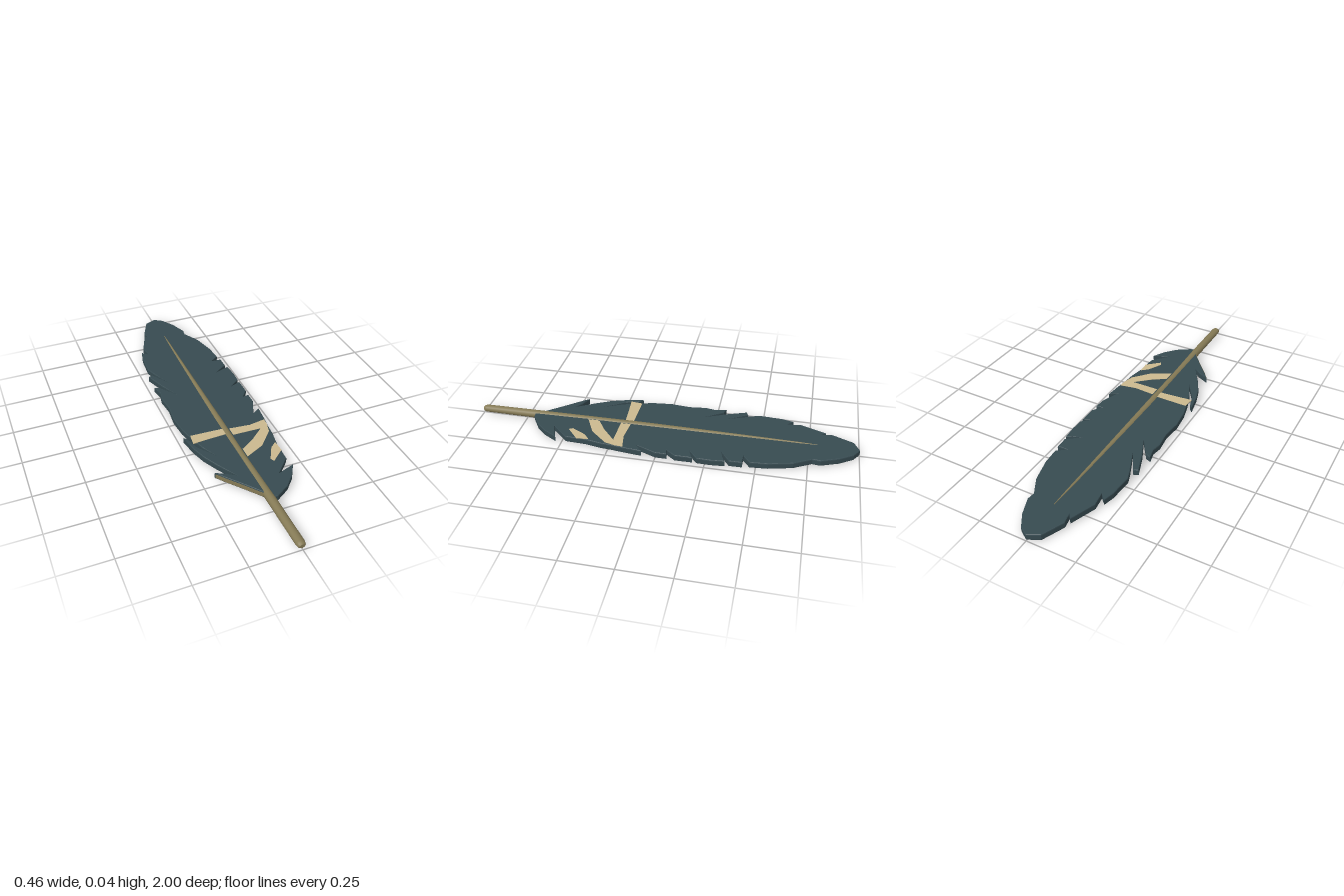
import * as THREE from 'three';

const mat = (name, color) => {
  const m = new THREE.MeshStandardMaterial({ color });
  m.name = name;
  return m;
};

// Turns [x, z] ground-plan points into a shape that is later laid flat
const plan = (pts) => new THREE.Shape(pts.map(([x, z]) => new THREE.Vector2(x, -z)));

// Lies an extruded plan flat, its underside at height y
function slab(name, pts, y, depth, material, bevel = 0) {
  const geo = new THREE.ExtrudeGeometry(plan(pts), {
    depth: depth - 2 * bevel, bevelEnabled: bevel > 0, bevelThickness: bevel,
    bevelSize: bevel * 0.7, bevelOffset: -bevel * 0.7, bevelSegments: 2,
  });
  geo.rotateX(-Math.PI / 2);
  geo.translate(0, y + bevel, 0);
  const mesh = new THREE.Mesh(geo, material);
  mesh.name = name;
  return mesh;
}

// Outline of the right half (+x), tip to stem, with slits between barbs
const rightEdge = [
  [0, -1], [0.045, -0.97], [0.09, -0.9], [0.125, -0.81], [0.12, -0.77], [0.17, -0.68],
  [0.2, -0.56], [0.207, -0.47], [0.16, -0.435], [0.215, -0.435], [0.216, -0.37],
  [0.145, -0.32], [0.222, -0.35], [0.228, -0.28], [0.226, -0.21], [0.17, -0.165],
  [0.225, -0.19], [0.226, -0.1], [0.19, -0.055], [0.222, -0.06], [0.222, 0], [0.18, 0.1],
  [0.222, 0.07], [0.215, 0.15], [0.205, 0.23], [0.2, 0.29], [0.185, 0.37], [0.18, 0.48],
  [0.1, 0.565], [0.19, 0.53], [0.15, 0.6], [0.1, 0.655], [0.03, 0.7], [0, 0.7],
];

// Outline of the other half, stem to tip, with two loose barbs
const leftEdge = [
  [-0.02, 0.66], [-0.1, 0.56], [-0.15, 0.5], [-0.182, 0.455], [-0.13, 0.48], [-0.09, 0.51],
  [-0.15, 0.41], [-0.19, 0.33], [-0.212, 0.26], [-0.23, 0.16], [-0.21, 0.18], [-0.19, 0.25],
  [-0.125, 0.35], [-0.17, 0.26], [-0.195, 0.18], [-0.215, 0.1], [-0.225, 0], [-0.215, -0.1],
  [-0.225, -0.19], [-0.215, -0.24], [-0.228, -0.3], [-0.2, -0.29], [-0.135, -0.195],
  [-0.185, -0.3], [-0.225, -0.41], [-0.2, -0.42], [-0.14, -0.315], [-0.19, -0.43],
  [-0.208, -0.48], [-0.2, -0.6], [-0.185, -0.66], [-0.155, -0.63], [-0.165, -0.7],
  [-0.115, -0.83], [-0.098, -0.81], [-0.108, -0.86], [-0.06, -0.97],
];

const topStripes = [
  [[-0.193, 0.16], [-0.02, 0.165], [-0.02, 0.21], [-0.11, 0.215], [-0.2, 0.222]],
  [[0.01, 0.175], [0.12, 0.185], [0.207, 0.17], [0.204, 0.21], [0.19, 0.265], [0.11, 0.355],
    [0.01, 0.405], [0.01, 0.345], [0.08, 0.3], [0.16, 0.23], [0.01, 0.228]],
  [[0.18, 0.355], [0.183, 0.42], [0.115, 0.48], [0.105, 0.46], [0.145, 0.385]],
];

const undersideStripes = [
  [[0, -0.56], [0.17, -0.63], [0.195, -0.555], [0, -0.49]],
  [[-0.215, -0.06], [0, -0.05], [0.195, -0.02], [0.2, 0.05], [0, 0.08], [-0.205, 0.1]],
  [[0, 0.28], [0.18, 0.235], [0.18, 0.33], [0, 0.35]],
  [[0, 0.475], [0.135, 0.46], [0.13, 0.53], [0, 0.535]],
];

// Tapered, slightly bowed oval rod with rounded ends: [z, centre x, half width, half height]
function stemGeometry() {
  const rings = [
    [1, -0.004, 0.012, 0.01], [0.994, -0.004, 0.019, 0.015], [0.98, -0.004, 0.022, 0.018],
    [0.7, -0.004, 0.022, 0.021], [0.4, -0.008, 0.019, 0.021], [0.1, -0.009, 0.021, 0.021],
    [-0.2, -0.008, 0.017, 0.02], [-0.5, -0.006, 0.012, 0.019], [-0.7, -0.004, 0.008, 0.018],
    [-0.79, -0.003, 0.003, 0.016],
  ];
  const sides = 16;
  const geo = new THREE.CylinderGeometry(1, 1, 1, sides, rings.length - 1);
  geo.rotateX(Math.PI / 2);
  const p = geo.attributes.position;
  for (let i = 0; i < p.count; i++) {
    const [z, cx, rx, ry] = rings[Math.round((0.5 - p.getZ(i)) * (rings.length - 1))];
    p.setXYZ(i, cx + p.getX(i) * rx, 0.028 + p.getY(i) * ry, z);
  }
  geo.computeVertexNormals();
  return geo;
}

export function createModel() {
  const slate = mat('slate vane', 0x374b51);
  const horn = mat('horn stem', 0x857a55);
  const cream = mat('cream stripe', 0xcbb98f);

  const model = new THREE.Group();
  model.name = 'feather';

  // Vane leans a touch to one side
  const vane = new THREE.Group();
  vane.name = 'vane';
  vane.rotation.z = -0.015;
  const bottom = 0.009, thick = 0.033;
  vane.add(slab('vaneBody', [...rightEdge, ...leftEdge], bottom, thick, slate, 0.006));
  topStripes.forEach((s, i) =>
    vane.add(slab(`topStripe${i + 1}`, s, bottom + thick - 0.002, 0.0035, cream)));
  undersideStripes.forEach((s, i) =>
    vane.add(slab(`undersideStripe${i + 1}`, s, bottom - 0.0015, 0.0035, cream)));

  // Pale rim along the front of the lowest loose barb
  const rim = [[-0.18, 0.461], [-0.15, 0.503], [-0.1, 0.563], [-0.02, 0.663],
    [-0.02, 0.655], [-0.1, 0.555], [-0.15, 0.495]];
  vane.add(slab('barbRim', rim, bottom + 0.006, thick - 0.012, horn));
  model.add(vane);

  const stem = new THREE.Mesh(stemGeometry(), horn);
  stem.name = 'stem';
  model.add(stem);
  return model;
}
